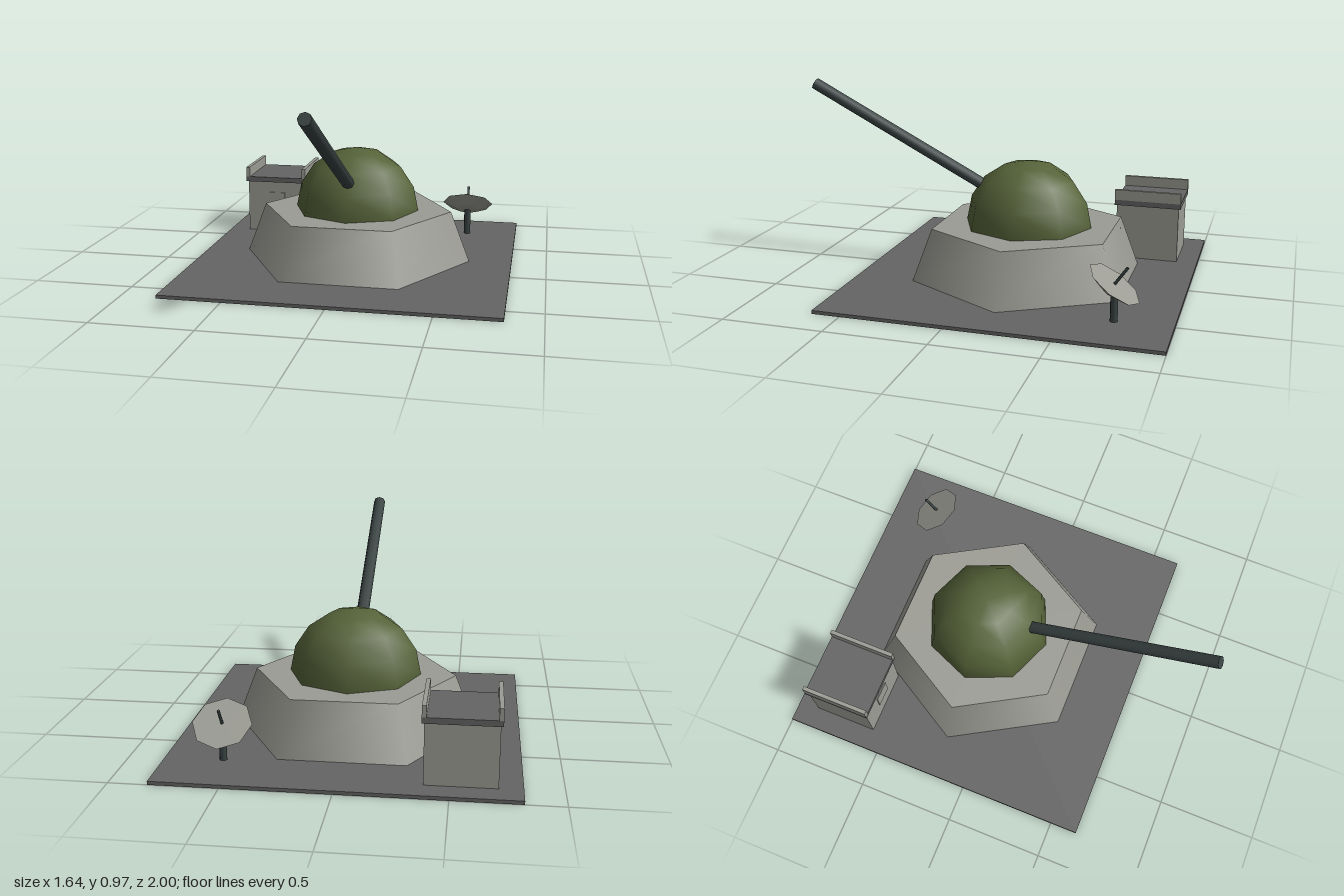
import * as THREE from 'three';

export function createModel() {
  const model = new THREE.Group();
  model.name = 'gunEmplacement';

  const material = (name, color) => {
    const m = new THREE.MeshStandardMaterial({ color });
    m.name = name;
    return m;
  };
  const concrete = material('concrete', 0x9c9c95);
  const paving = material('paving', 0x646464);
  const olive = material('olive', 0x566339);
  const steel = material('steel', 0x394242);

  const add = (name, geometry, mat, x, y, z, parent = model) => {
    const mesh = new THREE.Mesh(geometry, mat);
    mesh.name = name;
    mesh.position.set(x, y, z);
    parent.add(mesh);
    return mesh;
  };
  const box = (name, w, h, d, mat, x, y, z, parent) =>
    add(name, new THREE.BoxGeometry(w, h, d), mat, x, y, z, parent);

  // Round bar between two points
  const rod = (name, a, b, radius, sides, parent) => {
    const from = new THREE.Vector3(...a);
    const dir = new THREE.Vector3(...b).sub(from);
    const mid = from.clone().addScaledVector(dir, 0.5);
    const mesh = add(name, new THREE.CylinderGeometry(radius, radius, dir.length(), sides),
      steel, mid.x, mid.y, mid.z, parent);
    mesh.quaternion.setFromUnitVectors(new THREE.Vector3(0, 1, 0), dir.normalize());
    return mesh;
  };

  const cz = -0.18; // centre of the emplacement

  // Ground slab and hexagonal plinth
  box('groundSlab', 1.64, 0.017, 1.64, paving, 0, 0.0085, cz);
  const plinth = add('plinth', new THREE.CylinderGeometry(0.5, 0.6, 0.263, 6), concrete, 0, 0.1485, cz);
  plinth.rotation.y = Math.PI / 6;

  // Turret dome and gun
  add('turretDome', new THREE.SphereGeometry(0.327, 8, 4, 0, Math.PI * 2, 0, Math.PI / 2), olive, 0, 0.28, cz);
  rod('gunBarrel', [0, 0.41, -0.045], [0, 0.945, 0.985], 0.032, 8);

  // Bunker hut with a flat roof and two parapets
  const bunker = new THREE.Group();
  bunker.name = 'bunker';
  bunker.position.set(-0.548, 0, -0.73);
  model.add(bunker);
  box('bunkerWalls', 0.327, 0.29, 0.327, concrete, 0, 0.162, 0, bunker);
  box('bunkerRoof', 0.348, 0.028, 0.348, paving, 0, 0.321, 0, bunker);
  for (const side of [-1, 1]) {
    box('parapet', 0.02, 0.055, 0.348, concrete, side * 0.164, 0.3625, 0, bunker);
  }
  box('bunkerHatch', 0.1, 0.105, 0.008, concrete, 0, 0.193, 0.165, bunker);

  // Radar dish on a post, tipped backwards
  const radar = new THREE.Group();
  radar.name = 'radar';
  radar.position.set(0.545, 0, -0.727);
  model.add(radar);
  rod('radarPost', [0, 0.017, 0], [0, 0.172, 0], 0.018, 8, radar);
  const head = new THREE.Group();
  head.name = 'radarHead';
  head.position.y = 0.195;
  head.rotation.x = -0.61;
  radar.add(head);
  add('radarDish', new THREE.CylinderGeometry(0.14, 0.06, 0.038, 8), concrete, 0, -0.019, 0, head);
  rod('radarFeed', [0, -0.01, 0], [0, 0.1, 0], 0.007, 6, head);

  return model;
}
